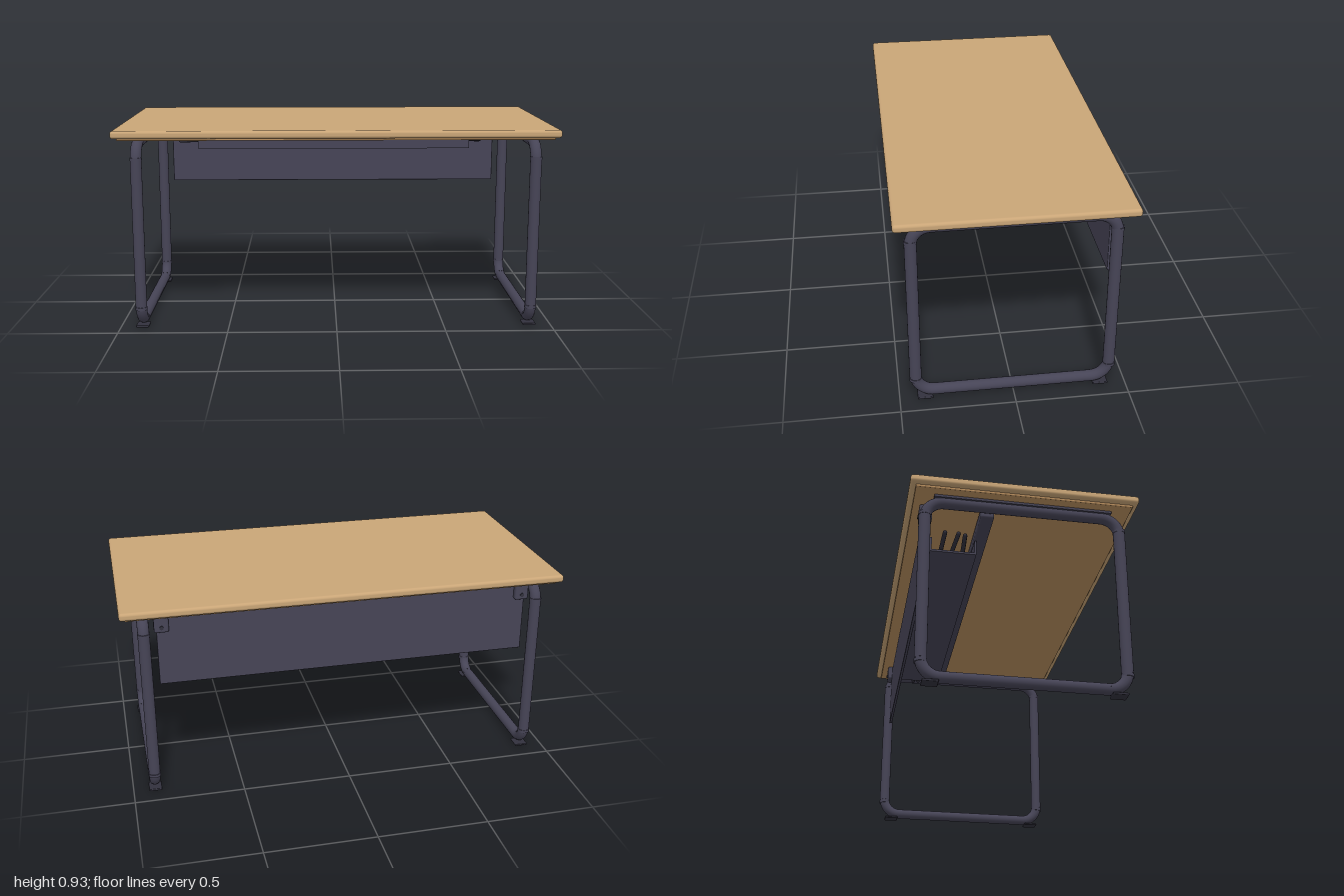
import * as THREE from 'three';
import { RoundedBoxGeometry } from 'three/addons/geometries/RoundedBoxGeometry.js';

export function createModel() {
  const root = new THREE.Group();
  const make = (name, color) => {
    const m = new THREE.MeshStandardMaterial({ color });
    m.name = name;
    return m;
  };
  const wood = make('lightWood', 0xc9a577);
  const underWood = make('undersideWood', 0xb98f5f);
  const metal = make('darkMetal', 0x464456);
  const rubber = make('darkRubber', 0x32313d);

  const add = (parent, name, geometry, material, x = 0, y = 0, z = 0) => {
    const mesh = new THREE.Mesh(geometry, material);
    mesh.name = name;
    mesh.position.set(x, y, z);
    parent.add(mesh);
    return mesh;
  };
  // box given by its min and max on each axis, optionally rounded
  const box = (parent, name, mat, [x0, x1], [y0, y1], [z0, z1], r = 0) => {
    const s = [x1 - x0, y1 - y0, z1 - z0];
    const g = r ? new RoundedBoxGeometry(...s, 3, r) : new THREE.BoxGeometry(...s);
    return add(parent, name, g, mat, (x0 + x1) / 2, (y0 + y1) / 2, (z0 + z1) / 2);
  };

  // table top and the thinner board below it
  box(root, 'tableTop', wood, [-1, 1], [0.89, 0.925], [-0.5, 0.5], 0.013);
  box(root, 'underBoard', underWood, [-0.975, 0.975], [0.879, 0.891], [-0.475, 0.475], 0.004);

  // closed tube frames, one at each end
  const Z = 0.427, LOW = 0.031, HIGH = 0.856, R = 0.08;
  for (const side of [-1, 1]) {
    const frame = new THREE.Group();
    frame.name = side > 0 ? 'leftLegFrame' : 'rightLegFrame';
    frame.position.x = side * 0.9;
    root.add(frame);

    for (const y of [LOW, HIGH]) {
      const rail = new THREE.CylinderGeometry(0.025, 0.025, 2 * (Z - R), 20);
      rail.rotateX(Math.PI / 2);
      add(frame, y === LOW ? 'floorRail' : 'topRail', rail, metal, 0, y, 0);
    }
    for (const s of [-1, 1]) {
      add(frame, 'upright', new THREE.CylinderGeometry(0.026, 0.026, 0.69, 20), metal, 0, 0.452, s * Z);
      for (const top of [false, true]) {
        // quarter bend with a slim collar where it meets the upright
        const bend = new THREE.TorusGeometry(R, 0.0255, 16, 8, Math.PI / 2);
        bend.rotateZ(s > 0 ? (top ? 0 : -Math.PI / 2) : (top ? Math.PI / 2 : Math.PI));
        bend.rotateY(-Math.PI / 2);
        add(frame, 'cornerBend', bend, metal, 0, top ? HIGH - R : LOW + R, s * (Z - R));
        add(frame, 'collar', new THREE.CylinderGeometry(0.0275, 0.0275, 0.014, 20), metal,
          0, top ? HIGH - R + 0.015 : LOW + R - 0.015, s * Z);
      }
      // floor pads
      box(frame, 'footPad', rubber, [-0.03, 0.03], [0, 0.01], [s * 0.388 - 0.034, s * 0.388 + 0.034], 0.004);
    }
    // mounting strip between rail and board
    box(frame, 'mountingStrip', metal, [-0.03, 0.03], [0.868, 0.88], [-0.39, 0.39]);
  }

  // cross beam under the top
  box(root, 'crossBeam', metal, [-0.87, 0.87], [0.826, 0.88], [-0.18, -0.12], 0.01);

  // modesty panel and its clamps
  box(root, 'modestyPanel', metal, [-0.845, 0.845], [0.545, 0.865], [-0.422, -0.408], 0.004);
  for (const s of [-1, 1]) {
    const x = s * 0.823;
    box(root, 'panelClamp', metal, [x - 0.032, x + 0.032], [0.8, 0.875], [-0.446, -0.39], 0.01);
    add(root, 'clampScrew', new THREE.CylinderGeometry(0.009, 0.009, 0.006, 12).rotateX(Math.PI / 2),
      rubber, x, 0.825, -0.448);
  }

  // cable tray, open at the top and ends
  const tray = new THREE.Group();
  tray.name = 'cableTray';
  root.add(tray);
  const span = [-0.685, 0.685];
  box(tray, 'trayFloor', metal, span, [0.748, 0.758], [-0.38, -0.17]);
  box(tray, 'trayFrontWall', metal, span, [0.748, 0.82], [-0.179, -0.17]);
  box(tray, 'trayBackWall', metal, span, [0.748, 0.82], [-0.38, -0.371]);
  for (const x of [-0.5, 0, 0.5])
    box(tray, 'trayHanger', metal, [x - 0.03, x + 0.03], [0.752, 0.882], [-0.371, -0.355]);

  // loose cables lying in the tray
  for (let i = 0; i < 3; i++) {
    const points = [];
    for (let k = 0; k <= 8; k++) {
      const x = -0.78 + 1.53 * k / 8;
      points.push(new THREE.Vector3(x, 0.781 + 0.008 * Math.sin(k * 1.9 + i),
        -0.235 - 0.04 * i + 0.012 * Math.sin(k * 1.3 + i * 2)));
    }
    const path = new THREE.CatmullRomCurve3(points);
    add(tray, 'cable', new THREE.TubeGeometry(path, 48, 0.01, 8), rubber);
    for (const k of [0, 8])
      add(tray, 'cableEnd', new THREE.SphereGeometry(0.01, 8, 6), rubber, ...points[k].toArray());
  }
  return root;
}
